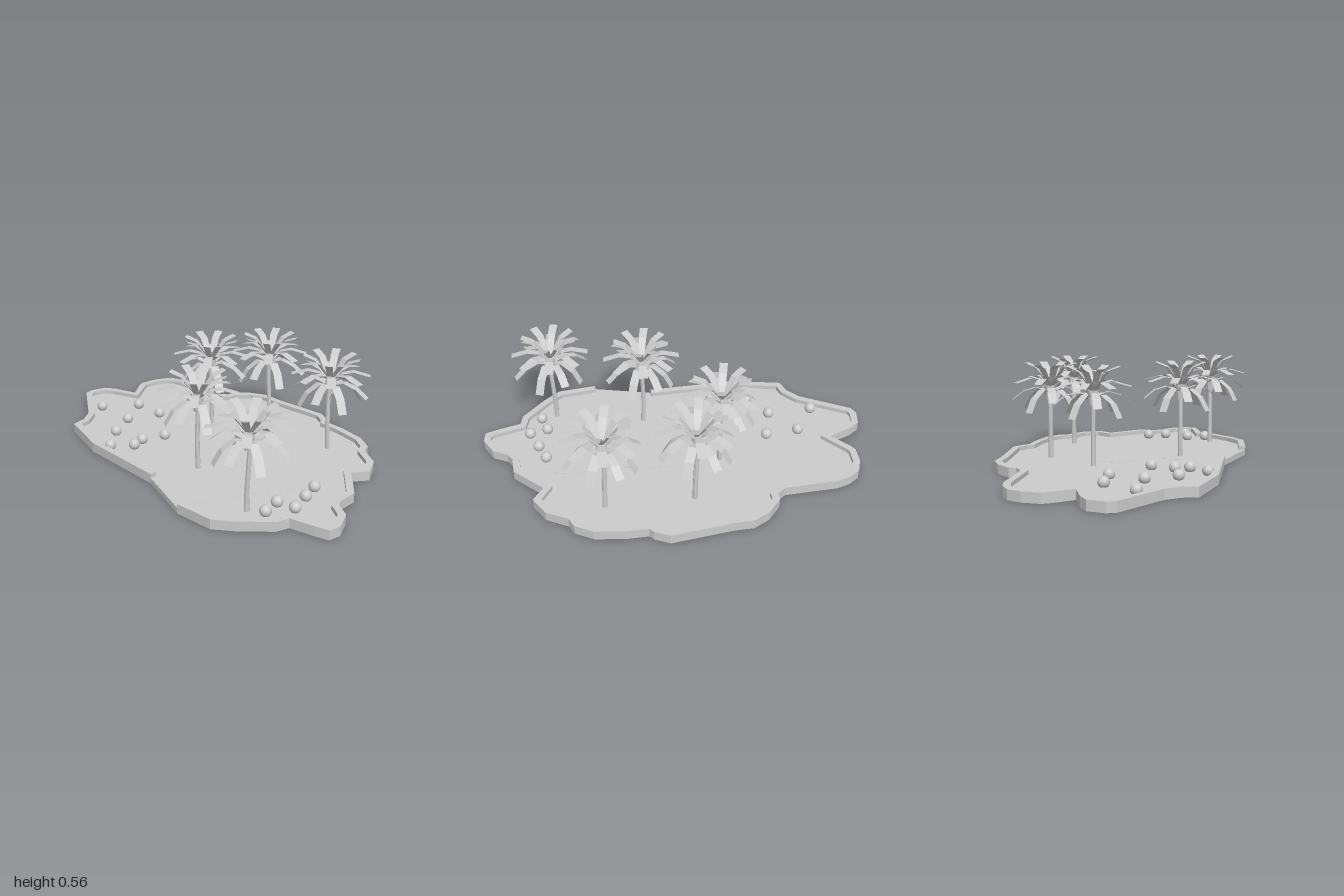
import * as THREE from 'three';

const material = new THREE.MeshStandardMaterial({ color: 0xcccccc, flatShading: true });
const smooth = new THREE.MeshStandardMaterial({ color: 0xcccccc });
const leaf = new THREE.MeshStandardMaterial({ color: 0xcccccc, flatShading: true, side: THREE.DoubleSide });

const FLOOR = 0.03, RIM = 0.053, RIM_WIDTH = 0.038;

// Shoreline as [x, z], clockwise from the left to the right end of the rim opening
const shore = [
  [-0.05, 0.49], [-0.53, 0.33], [-0.78, 0.17], [-0.77, 0.09], [-0.8, 0], [-1, -0.25], [-1, -0.3],
  [-0.95, -0.38], [-0.88, -0.4], [-0.735, -0.405], [-0.78, -0.53], [-0.785, -0.57], [-0.745, -0.66],
  [-0.69, -0.72], [-0.62, -0.74], [-0.54, -0.735], [-0.265, -0.645], [-0.205, -0.665], [-0.19, -0.705],
  [-0.09, -0.76], [0.01, -0.775], [0.11, -0.74], [0.43, -0.665], [0.49, -0.6], [0.5, -0.57],
  [0.61, -0.53], [0.75, -0.455], [0.82, -0.37], [0.825, -0.31], [0.91, -0.21], [0.93, -0.09],
  [0.85, -0.03], [0.9, 0.08], [0.94, 0.17], [0.91, 0.27], [0.92, 0.32], [0.98, 0.39], [0.995, 0.5],
  [0.965, 0.56], [0.89, 0.56], [0.76, 0.55], [0.72, 0.61], [0.55, 0.7], [0.44, 0.74], [0.23, 0.69],
];

const palms = [[-0.1, -0.25], [0.17, -0.46], [0.61, -0.29], [0.11, 0.27], [0.54, 0.55]];

const rocks = [
  [-0.79, -0.13], [-0.61, -0.26], [-0.43, -0.21], [-0.55, -0.05], [-0.51, 0.13], [-0.24, 0.04],
  [-0.32, 0.15], [-0.32, 0.23], [-0.43, 0.3], [0.74, 0.2], [0.74, 0.31], [0.74, 0.44],
  [0.64, 0.43], [0.63, 0.54],
];

function addMesh(parent, name, geometry, mat = material) {
  const mesh = new THREE.Mesh(geometry, mat);
  mesh.name = name;
  parent.add(mesh);
  return mesh;
}

// Horizontal slab from an [x, z] outline
function slab(points, bottom, top) {
  const shape = new THREE.Shape(points.map(([x, z]) => new THREE.Vector2(x, -z)));
  const geo = new THREE.ExtrudeGeometry(shape, { depth: top - bottom, bevelEnabled: false });
  return geo.rotateX(-Math.PI / 2).translate(0, bottom, 0);
}

// Open line moved inward by a mitred distance
function inset(points, distance) {
  const normal = (a, b) => new THREE.Vector2(a[1] - b[1], b[0] - a[0]).normalize();
  return points.map((p, i) => {
    const before = normal(points[Math.max(i - 1, 0)], points[Math.max(i, 1)]);
    const last = points.length - 1;
    const after = normal(points[Math.min(i, last - 1)], points[Math.min(i + 1, last)]);
    const mid = before.clone().add(after).normalize();
    const d = distance / Math.max(mid.dot(after), 0.7);
    return [p[0] + mid.x * d, p[1] + mid.y * d];
  });
}

// Flat strip following [radius, height, width] stations outward along +x
function frondGeometry(stations) {
  const positions = [], index = [];
  stations.forEach(([r, y, w], i) => {
    positions.push(r, y, w / 2, r, y, -w / 2);
    if (i) {
      const k = 2 * i;
      index.push(k - 2, k, k - 1, k - 1, k, k + 1);
    }
  });
  const geo = new THREE.BufferGeometry();
  geo.setAttribute('position', new THREE.Float32BufferAttribute(positions, 3));
  geo.setIndex(index);
  geo.computeVertexNormals();
  return geo;
}

// Crown tiers: number of fronds, first angle, stations
const tiers = [
  { name: 'upperFrond', count: 8, turn: 0.2,
    stations: [[0.01, 0.44, 0.02], [0.045, 0.49, 0.035], [0.085, 0.54, 0.042], [0.15, 0.563, 0.045]] },
  { name: 'middleFrond', count: 8, turn: Math.PI / 8,
    stations: [[0.01, 0.43, 0.025], [0.06, 0.475, 0.038], [0.12, 0.488, 0.045], [0.21, 0.465, 0.045]] },
  { name: 'spreadingFrond', count: 4, turn: 0,
    stations: [[0.015, 0.41, 0.03], [0.08, 0.433, 0.04], [0.15, 0.412, 0.045], [0.21, 0.365, 0.045]] },
  { name: 'droopingFrond', count: 4, turn: Math.PI / 4,
    stations: [[0.015, 0.405, 0.035], [0.07, 0.42, 0.045], [0.135, 0.375, 0.047], [0.178, 0.302, 0.047]] },
].map((tier) => ({ ...tier, geometry: frondGeometry(tier.stations) }));

function createPalm(index) {
  const palm = new THREE.Group();
  palm.name = 'palmTree';
  // Slightly bent trunk
  const trunk = new THREE.CylinderGeometry(0.012, 0.014, 0.37, 8, 6).translate(0, 0.205, 0);
  const pos = trunk.attributes.position;
  for (let i = 0; i < pos.count; i++) {
    pos.setX(i, pos.getX(i) + 0.006 * Math.sin(pos.getY(i) * 9 + index));
  }
  addMesh(palm, 'trunk', trunk);
  addMesh(palm, 'crownBase', new THREE.CylinderGeometry(0.03, 0.024, 0.08, 8).translate(0, 0.4, 0));
  for (const { name, count, turn, geometry } of tiers) {
    for (let i = 0; i < count; i++) {
      addMesh(palm, name, geometry, leaf).rotation.y = turn + (i * 2 * Math.PI) / count;
    }
  }
  return palm;
}

export function createModel() {
  const island = new THREE.Group();
  island.name = 'palmIsland';

  // Ground plate and raised edge with its front opening
  addMesh(island, 'ground', slab(shore, 0, FLOOR));
  addMesh(island, 'rim', slab([...shore, ...inset(shore, RIM_WIDTH).reverse()], FLOOR, RIM));

  // Thin lagoon patch running in from the opening
  const lagoonCurve = new THREE.SplineCurve([
    [0.23, 0.685], [0.5, 0.36], [0.74, 0.16], [0.7, 0.05], [0.42, -0.05], [0.27, -0.13],
    [0.05, -0.21], [-0.03, -0.1], [0.05, 0.08], [0, 0.25], [-0.045, 0.488],
  ].map((p) => new THREE.Vector2(...p)));
  const lagoon = lagoonCurve.getPoints(40).map((p) => [p.x, p.y]);
  addMesh(island, 'lagoon', slab(lagoon, FLOOR - 0.005, FLOOR + 0.001));

  // Round rocks half sunk in the ground
  const rockGeometry = new THREE.SphereGeometry(0.031, 16, 12);
  for (const [x, z] of rocks) addMesh(island, 'rock', rockGeometry, smooth).position.set(x, 0.053, z);

  palms.forEach(([x, z], i) => {
    const palm = createPalm(i);
    palm.position.set(x, 0, z);
    island.add(palm);
  });
  return island;
}
